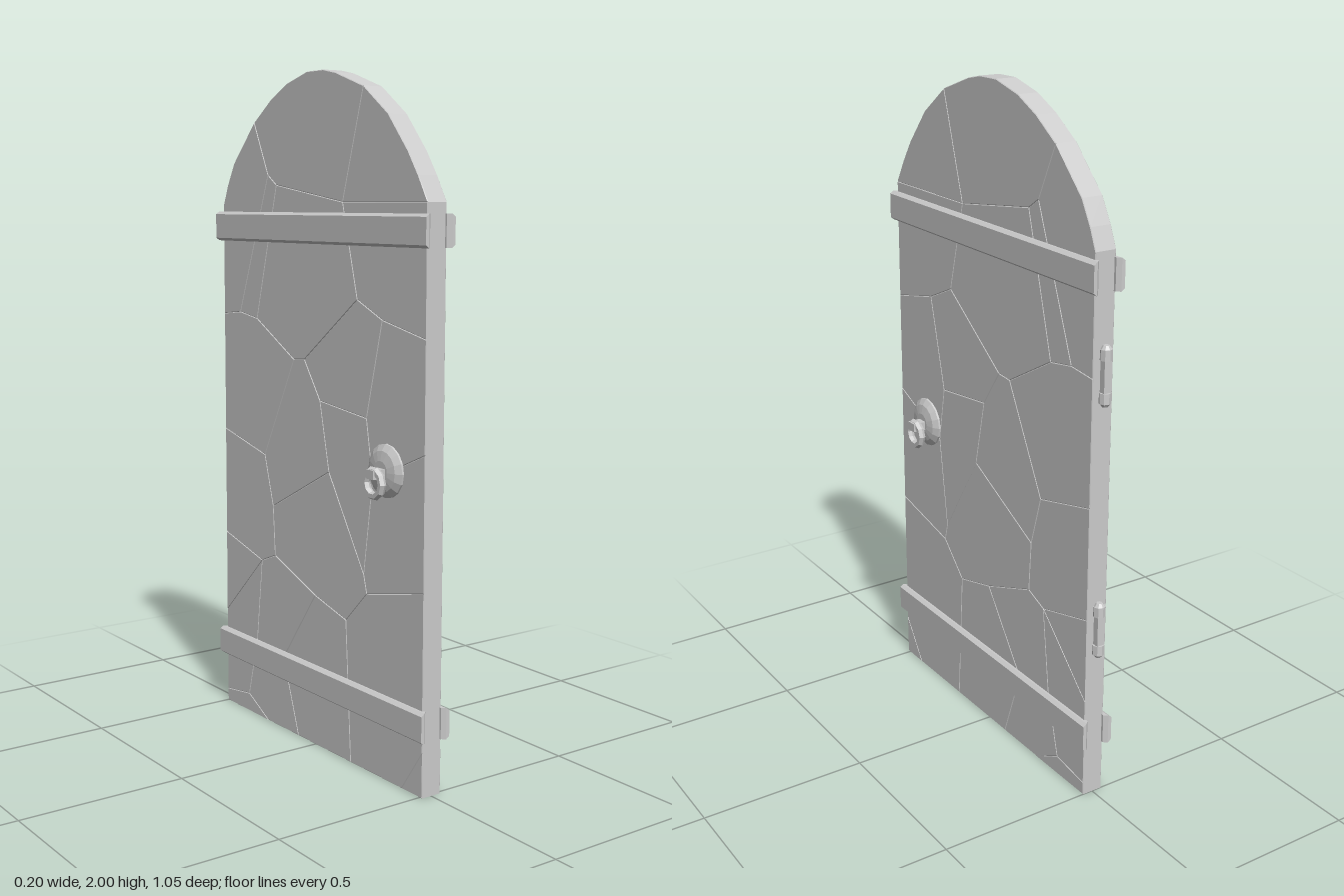
import * as THREE from 'three';

const grey = new THREE.MeshStandardMaterial({ color: 0xcccccc, flatShading: true });

function add(parent, name, geometry, x = 0, y = 0, z = 0) {
  const mesh = new THREE.Mesh(geometry, grey);
  mesh.name = name;
  mesh.position.set(x, y, z);
  parent.add(mesh);
  return mesh;
}

// Corners of the slab pieces as [z, y]
const P = {
  // left edge, right edge and foot
  L0: [0.51, 0], L1: [0.51, 0.13], L2: [0.51, 0.58], L3: [0.51, 0.96], L4: [0.51, 1.27], L5: [0.51, 1.63],
  R0: [-0.5, 0], R1: [-0.5, 0.04], R2: [-0.5, 0.31], R3: [-0.5, 0.57], R4: [-0.5, 0.91], R5: [-0.5, 1.28], R6: [-0.5, 1.62],
  B1: [0.42, 0], B2: [0.18, 0], B3: [-0.09, 0], B4: [-0.26, 0],
};
Object.assign(P, {
  // arch, from the +z side over the top
  A1: [0.47, 1.70], A2: [0.426, 1.765], A3: [0.34, 1.865], A4: [0.23, 1.944], A5: [0.1, 1.988], A6: [0.04, 2], A7: [-0.04, 2],
  A8: [-0.145, 1.972], A9: [-0.23, 1.93], A10: [-0.32, 1.868], A11: [-0.437, 1.748], A12: [-0.475, 1.68],
});
Object.assign(P, {
  // crack junctions
  a: [0.255, 0.525], b: [0.155, 0.425], c: [0.24, 0.58], d: [0, 0.465], e: [-0.215, 0.545], f: [-0.29, 0.515],
  g: [-0.225, 0.70], h: [0.07, 0.85], i: [0.025, 1.055], j: [0.25, 1.03], k: [0.28, 0.86], l: [0.32, 1.31],
  m: [0.205, 1.36], n: [-0.055, 1.17], o: [-0.11, 1.165], p: [-0.27, 0.855], q: [-0.31, 1.275], r: [-0.405, 1.29],
  s: [0.135, 1.63], t: [-0.2, 1.68], u: [-0.245, 1.71], v: [-0.17, 0.23], w: [-0.32, 0.25], y: [-0.37, 0.058],
});

const pieces = [
  'L0 B1 L1', 'L1 B1 B2 b a L2', 'B2 B3 v d b', 'B3 B4 y w f e d v', 'B4 R0 R1 y', 'y R1 R2 f w', 'f R2 R3',
  'L2 a c k L3', 'a b d e g h c', 'e f R3 R4 p g', 'h g p o n i', 'c h i j k', 'L3 k j l L4', 'j i n m l',
  'm n o q t s', 'o p R4 R5 r q', 'q r u t', 'L4 l m s L5',
  'L5 s A4 A3 A2 A1', 's t u A10 A9 A8 A7 A6 A5 A4', 'u r R5 R6 A12 A11 A10',
];

// One slab piece with a hairline bevel, which leaves the cracks between neighbours
function pieceGeometry(names) {
  const shape = new THREE.Shape(names.split(' ').map((k) => new THREE.Vector2(...P[k])));
  const bevel = 0.002, thick = 0.066;
  const g = new THREE.ExtrudeGeometry(shape, {
    depth: thick - 2 * bevel, bevelEnabled: true, bevelSegments: 1,
    bevelThickness: bevel, bevelSize: bevel, bevelOffset: -bevel,
  });
  g.translate(0, 0, bevel - thick / 2);
  return g.rotateY(-Math.PI / 2);
}

// Strap: outer face chamfered above and below, ends slanting in towards the slab
function strapGeometry() {
  const g = new THREE.BoxGeometry(0.022, 0.09, 1.044, 2, 1, 1);
  const pos = g.attributes.position;
  for (let n = 0; n < pos.count; n++) {
    if (pos.getX(n) > 0.005) pos.setY(n, pos.getY(n) * 0.82);
    if (pos.getX(n) < -0.005) pos.setZ(n, pos.getZ(n) * 0.98);
  }
  return g;
}

// Round plate, stem and hanging ring, facing +x
function handle() {
  const group = new THREE.Group();
  const plate = new THREE.LatheGeometry(
    [[0.076, -0.004], [0.076, 0.006], [0.058, 0.018], [0.03, 0.024], [0, 0.024]].map((p) => new THREE.Vector2(...p)), 16);
  add(group, 'handlePlate', plate.rotateZ(-Math.PI / 2), 0.033, 0.895, 0.35);
  add(group, 'handleStem', new THREE.BoxGeometry(0.05, 0.026, 0.034), 0.073, 0.892, 0.345);
  const ring = add(group, 'handleRing', new THREE.TorusGeometry(0.036, 0.012, 6, 10), 0.082, 0.866, 0.345);
  ring.rotation.set(0, Math.PI / 2, 0);
  return group;
}

export function createModel() {
  const model = new THREE.Group();
  model.name = 'archedDoor';

  const slab = new THREE.Group();
  slab.name = 'crackedSlab';
  pieces.forEach((names, n) => add(slab, `slabPiece${n + 1}`, pieceGeometry(names)));
  model.add(slab);

  // Straps and handle on both faces
  for (const side of [1, -1]) {
    const fittings = new THREE.Group();
    fittings.name = side > 0 ? 'leftFittings' : 'rightFittings';
    for (const y of [0.205, 1.555]) {
      const strap = add(fittings, 'strap', strapGeometry(), side * 0.039, y, 0.004);
      if (side < 0) strap.rotation.y = Math.PI;
    }
    const pull = handle();
    pull.name = 'handle';
    if (side < 0) {
      // turn about the handle's own axis so it stays at the same z
      pull.rotation.y = Math.PI;
      pull.position.z = 0.695;
    }
    fittings.add(pull);
    model.add(fittings);
  }

  // Hinges on the back edge: a pin with a thicker knuckle at each end
  for (const y of [0.535, 1.285]) {
    const hinge = new THREE.Group();
    hinge.name = 'hinge';
    add(hinge, 'hingePin', new THREE.BoxGeometry(0.024, 0.14, 0.026), -0.003, y, -0.506);
    for (const s of [1, -1]) {
      add(hinge, 'hingeKnuckle', new THREE.CylinderGeometry(0.018, 0.018, 0.03, 8), -0.003, y + s * 0.06, -0.508);
      add(hinge, 'hingeTip', new THREE.CylinderGeometry(s > 0 ? 0.009 : 0.016, s > 0 ? 0.016 : 0.009, 0.01, 8),
        -0.003, y + s * 0.08, -0.508);
    }
    model.add(hinge);
  }
  return model;
}
